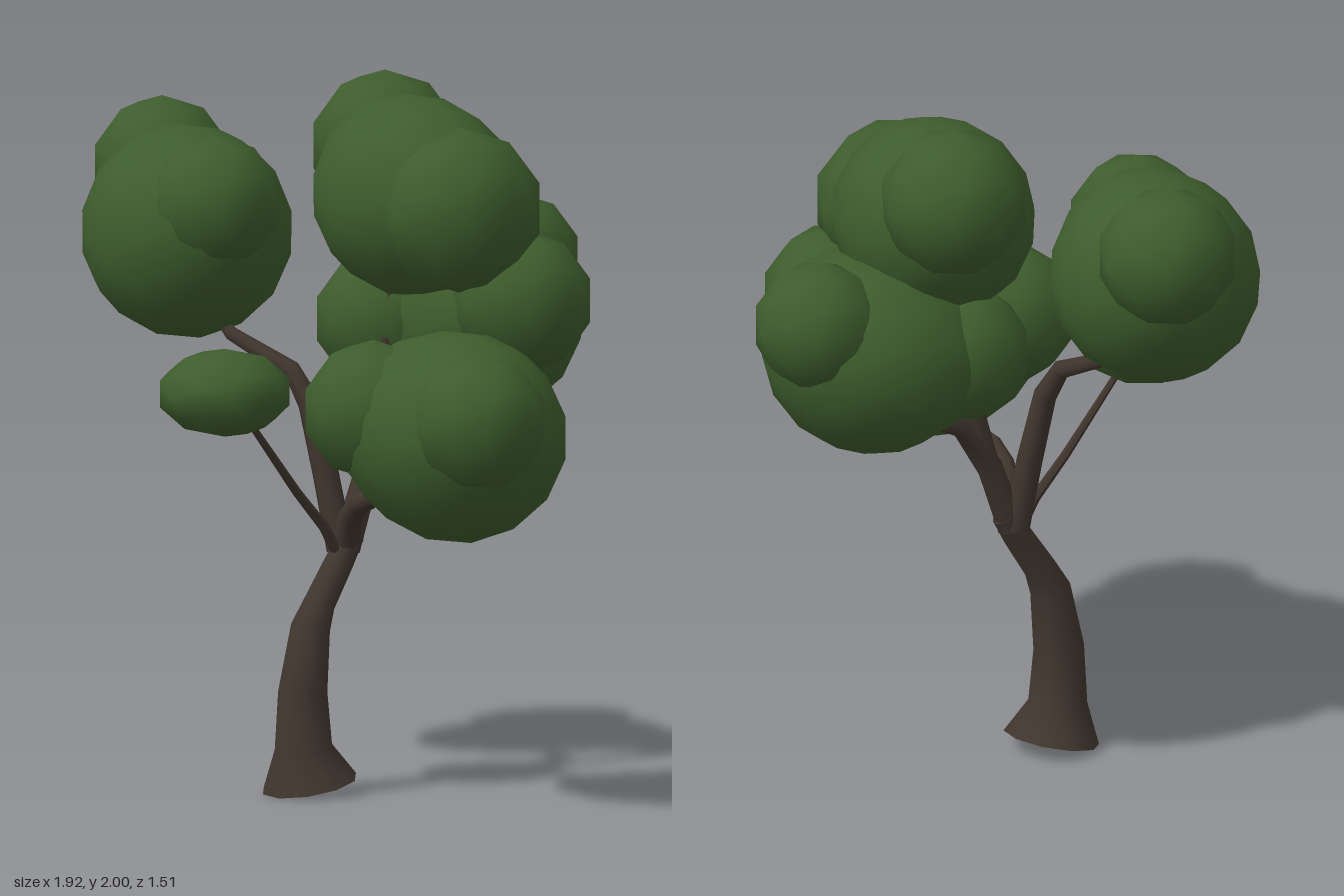
import * as THREE from 'three';
import { toCreasedNormals, mergeVertices } from 'three/addons/utils/BufferGeometryUtils.js';

const bark = new THREE.MeshStandardMaterial({ name: 'bark brown', color: 0x40362e });
const leaf = new THREE.MeshStandardMaterial({ name: 'leaf green', color: 0x3e5d2d });

// Tapered limb: rings swept along stations of [x, y, z, radius], closed at both ends
function limb(name, stations, sides) {
  const pts = stations.map(s => new THREE.Vector3(s[0], s[1], s[2]));
  const pos = [], idx = [];
  const u = new THREE.Vector3(1, 0, 0.1);
  const n = pts.length;
  pts.forEach((p, i) => {
    const t = pts[Math.min(i + 1, n - 1)].clone().sub(pts[Math.max(i - 1, 0)]).normalize();
    u.addScaledVector(t, -u.dot(t)).normalize();
    const v = new THREE.Vector3().crossVectors(t, u);
    for (let k = 0; k < sides; k++) {
      const a = (k / sides) * Math.PI * 2, r = stations[i][3];
      const q = p.clone().addScaledVector(u, Math.cos(a) * r).addScaledVector(v, Math.sin(a) * r);
      pos.push(q.x, q.y, q.z);
    }
  });
  for (let i = 0; i < n - 1; i++) {
    for (let k = 0; k < sides; k++) {
      const a = i * sides + k, b = i * sides + (k + 1) % sides;
      idx.push(a, b, a + sides, b, b + sides, a + sides);
    }
  }
  const last = (n - 1) * sides;
  for (let k = 1; k < sides - 1; k++) idx.push(0, k + 1, k, last, last + k, last + k + 1);
  const g = new THREE.BufferGeometry();
  g.setAttribute('position', new THREE.Float32BufferAttribute(pos, 3));
  g.setIndex(idx);
  const mesh = new THREE.Mesh(toCreasedNormals(g, 0.95), bark);
  mesh.name = name;
  return mesh;
}

// Smooth ball whose surface swells towards the given directions
function swollenBall(detail, directions) {
  let g = new THREE.IcosahedronGeometry(1, detail);
  g.deleteAttribute('uv');
  g.deleteAttribute('normal');
  g = mergeVertices(g);
  const p = g.attributes.position, v = new THREE.Vector3();
  for (let i = 0; i < p.count; i++) {
    v.fromBufferAttribute(p, i);
    const swell = Math.max(0, ...directions.map(d => d.dot(v)));
    v.multiplyScalar(1 + 0.15 * swell ** 4);
    p.setXYZ(i, v.x, v.y, v.z);
  }
  g.computeVertexNormals();
  return g;
}

// Foliage clump: the first ball swells to meet the others, each [x, y, z, rx, ry, rz]
function clump(name, balls) {
  const group = new THREE.Group();
  group.name = name;
  const centres = balls.map(b => new THREE.Vector3(b[0], b[1], b[2]));
  const directions = centres.slice(1).map(c => c.clone().sub(centres[0]).normalize());
  balls.forEach(([x, y, z, rx, ry = rx, rz = rx], i) => {
    const g = i === 0 && directions.length ? swollenBall(2, directions) : swollenBall(1, []);
    const ball = new THREE.Mesh(g, leaf);
    ball.name = name + 'Ball' + (i + 1);
    ball.position.set(x, y, z);
    ball.scale.set(rx, ry, rz);
    group.add(ball);
  });
  return group;
}

export function createModel() {
  const tree = new THREE.Group();
  tree.name = 'tree';

  // Leaning trunk with flared foot
  tree.add(limb('trunk', [
    [-0.04, 0.035, 0.25, 0.138], [-0.04, 0.14, 0.272, 0.084], [-0.035, 0.3, 0.278, 0.072],
    [-0.035, 0.48, 0.25, 0.058], [-0.035, 0.55, 0.215, 0.046], [-0.04, 0.66, 0.14, 0.042],
    [-0.04, 0.73, 0.1, 0.04],
  ], 10));

  // Branches reaching into each clump
  tree.add(limb('leftBranch', [
    [-0.04, 0.7, 0.12, 0.038], [0.01, 0.79, 0.14, 0.036], [0.07, 0.835, 0.16, 0.032],
    [0.16, 0.865, 0.175, 0.028], [0.36, 0.865, 0.2, 0.022], [0.52, 0.97, 0.2, 0.014],
  ], 8));
  tree.add(limb('rightBranch', [
    [-0.05, 0.69, 0.13, 0.04], [-0.09, 0.9, 0.15, 0.038], [-0.125, 1.1, 0.18, 0.034],
    [-0.18, 1.19, 0.2, 0.028], [-0.38, 1.28, 0.26, 0.02], [-0.5, 1.42, 0.3, 0.012],
  ], 8));
  tree.add(limb('backBranch', [
    [-0.04, 0.69, 0.12, 0.042], [-0.04, 0.88, 0.05, 0.038], [-0.035, 1.02, -0.04, 0.034],
    [-0.02, 1.09, -0.22, 0.026], [-0.03, 1.22, -0.34, 0.016],
  ], 8));
  tree.add(limb('topBranch', [
    [-0.04, 0.9, 0.045, 0.03], [-0.05, 1.12, -0.02, 0.026], [-0.06, 1.35, -0.04, 0.018],
    [-0.06, 1.52, -0.1, 0.014],
  ], 8));
  tree.add(limb('frontTwig', [
    [-0.035, 0.66, 0.14, 0.016], [-0.035, 0.76, 0.2, 0.015], [-0.035, 0.87, 0.3, 0.013],
    [-0.035, 1.12, 0.5, 0.009],
  ], 6));

  // Foliage
  tree.add(clump('rightFoliage', [
    [-0.53, 1.555, 0.3, 0.3], [-0.765, 1.71, 0.2, 0.2], [-0.345, 1.66, 0.35, 0.195],
  ]));
  tree.add(clump('topFoliage', [
    [-0.05, 1.67, -0.14, 0.3, 0.285, 0.285], [0.165, 1.655, -0.13, 0.22, 0.235, 0.245],
    [-0.26, 1.79, -0.2, 0.213],
  ]));
  tree.add(clump('backFoliage', [
    [-0.06, 1.31, -0.36, 0.33, 0.29, 0.29], [0.215, 1.385, -0.31, 0.205],
    [-0.135, 1.45, -0.57, 0.185], [-0.19, 1.31, -0.14, 0.2],
  ]));
  tree.add(clump('leftFoliage', [
    [0.55, 1.08, 0.19, 0.315, 0.3, 0.31], [0.755, 1.15, 0.28, 0.2], [0.39, 1.155, 0.365, 0.205, 0.2, 0.2],
  ]));
  tree.add(clump('frontFoliage', [[-0.035, 1.175, 0.56, 0.19, 0.125, 0.195]]));
  return tree;
}
